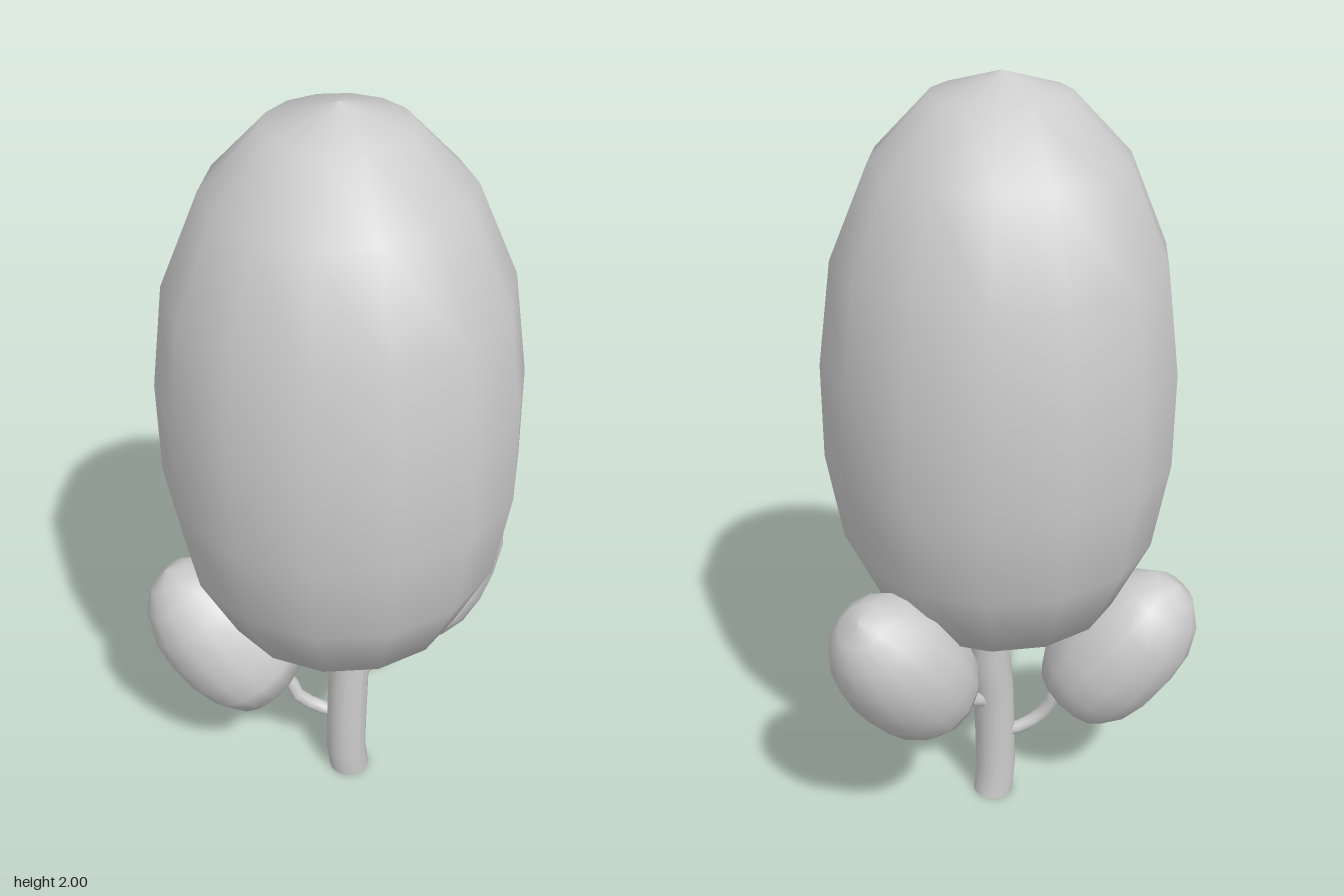
import * as THREE from 'three';

const material = new THREE.MeshStandardMaterial({ color: 0xcccccc });

// Egg-shaped crown profile: radius and height, both as fractions of the full size
const PROFILE = [
  [0, 0], [0.70, 0.056], [0.91, 0.19], [1, 0.352], [1, 0.521],
  [0.92, 0.704], [0.70, 0.863], [0.38, 0.965], [0, 1],
];

function addMesh(parent, name, geometry) {
  const mesh = new THREE.Mesh(geometry, material);
  mesh.name = name;
  parent.add(mesh);
  return mesh;
}

// Leaf crown standing on `base` and growing along `axis`
function addCrown(parent, name, radius, height, base, axis) {
  const points = PROFILE.map(([r, h]) => new THREE.Vector2(r * radius, h * height));
  const crown = addMesh(parent, name, new THREE.LatheGeometry(points, 14));
  crown.position.set(...base);
  crown.quaternion.setFromUnitVectors(
    new THREE.Vector3(0, 1, 0), new THREE.Vector3(...axis).normalize());
}

// Thin bent branch
function addBranch(parent, name, points) {
  const curve = new THREE.CatmullRomCurve3(points.map((p) => new THREE.Vector3(...p)));
  addMesh(parent, name, new THREE.TubeGeometry(curve, 6, 0.019, 8));
}

// Trunk: open cylinder whose rings are moved onto a crooked centre line
function trunkGeometry() {
  const rings = [[-0.053, 0], [-0.064, 0.08], [-0.06, 0.2], [-0.052, 0.36], [-0.038, 0.46], [-0.038, 0.66]];
  const last = rings.length - 1;
  const geometry = new THREE.CylinderGeometry(0.055, 0.055, last, 14, last, true);
  const pos = geometry.attributes.position;
  for (let i = 0; i < pos.count; i++) {
    const [x, y] = rings[Math.round(pos.getY(i) + last / 2)];
    pos.setX(i, pos.getX(i) + x);
    pos.setY(i, y);
  }
  geometry.computeVertexNormals();
  return geometry;
}

export function createModel() {
  const tree = new THREE.Group();
  tree.name = 'tree';

  addMesh(tree, 'trunk', trunkGeometry());
  addCrown(tree, 'mainCrown', 0.435, 1.42, [-0.07, 0.58, 0], [0, 1, 0]);

  // Left side branch with its crown
  addBranch(tree, 'leftBranch', [[-0.03, 0.31, 0], [0.01, 0.335, 0], [0.07, 0.375, 0], [0.11, 0.425, 0], [0.17, 0.48, 0]]);
  addCrown(tree, 'leftCrown', 0.163, 0.47, [0.15, 0.41, 0], [0.6, 0.8, 0]);

  // Rear right branch with its crown
  addBranch(tree, 'rearBranch', [[-0.07, 0.2, -0.02], [-0.105, 0.215, -0.06], [-0.15, 0.26, -0.1], [-0.165, 0.33, -0.13], [-0.2, 0.37, -0.16]]);
  addCrown(tree, 'rearCrown', 0.163, 0.47, [-0.2, 0.3, -0.143], [-0.37, 0.8, -0.47]);

  return tree;
}
